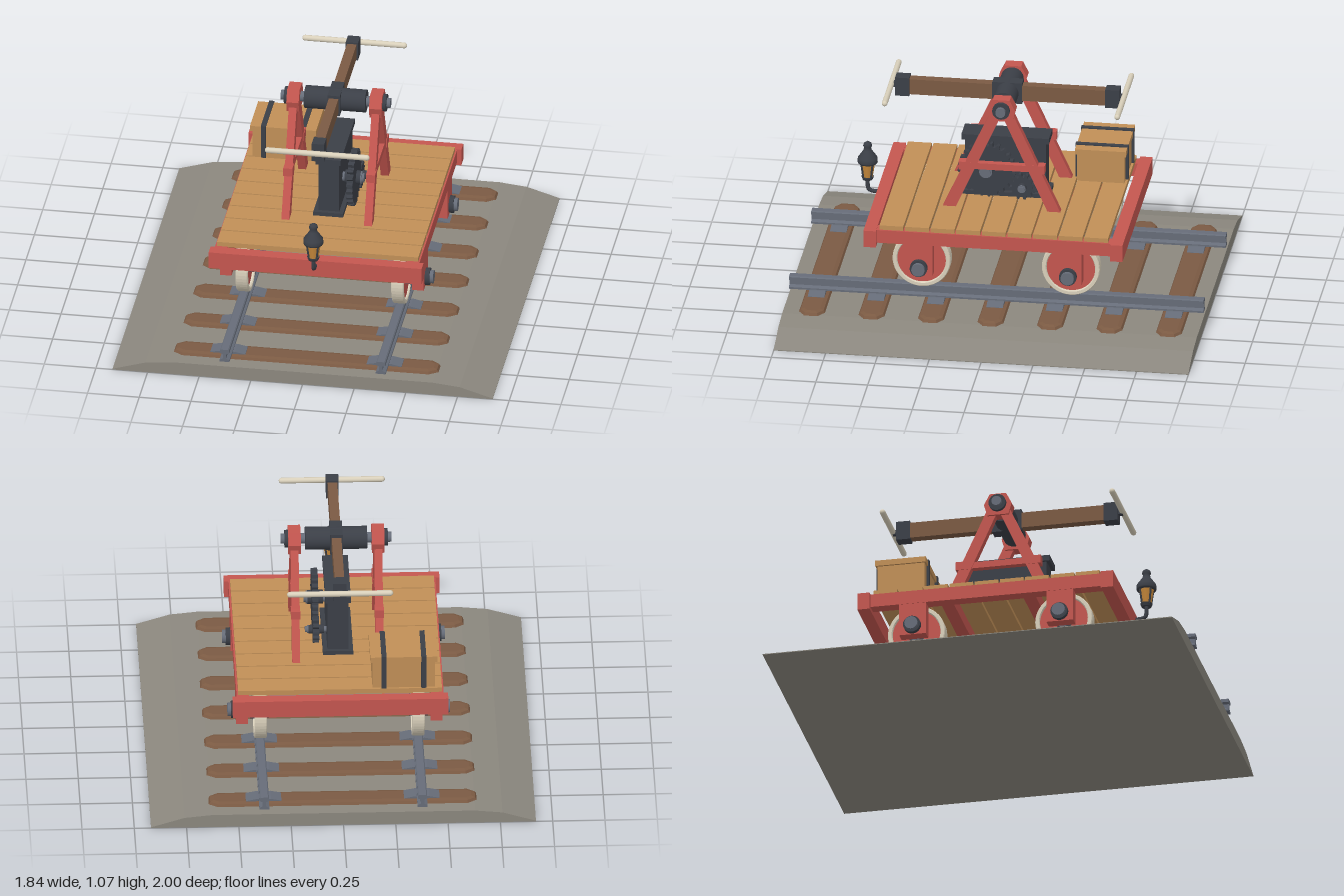
import * as THREE from 'three';

const mat = (name, color) => {
  const m = new THREE.MeshStandardMaterial({ color });
  m.name = name;
  return m;
};

export function createModel() {
  const model = new THREE.Group();
  model.name = 'railHandcar';

  const red = mat('red paint', 0xc4564f);
  const plankWood = mat('plank wood', 0xc08f57);
  const brown = mat('dark wood', 0x7b5a43);
  const iron = mat('dark iron', 0x3b3f47);
  const steel = mat('steel', 0x666c78);
  const cream = mat('cream', 0xd9d0bb);
  const gravel = mat('gravel', 0x8b877e);
  const amber = mat('amber glass', 0xc98a3c);

  const add = (name, geo, material, x = 0, y = 0, z = 0) => {
    const mesh = new THREE.Mesh(geo, material);
    mesh.name = name;
    mesh.position.set(x, y, z);
    model.add(mesh);
    return mesh;
  };
  // box given by its limits on each axis
  const box = (name, material, x0, x1, y0, y1, z0, z1) =>
    add(name, new THREE.BoxGeometry(x1 - x0, y1 - y0, z1 - z0), material,
      (x0 + x1) / 2, (y0 + y1) / 2, (z0 + z1) / 2);
  // cylinder lying along x
  const rod = (name, material, r, x0, x1, y, z, sides = 24) =>
    add(name, new THREE.CylinderGeometry(r, r, Math.abs(x1 - x0), sides).rotateZ(Math.PI / 2),
      material, (x0 + x1) / 2, y, z);
  const poly = (pts) => new THREE.Shape(pts.map(([a, b]) => new THREE.Vector2(a, b)));
  const extrude = (shape, depth) =>
    new THREE.ExtrudeGeometry(shape, { depth, bevelEnabled: false, curveSegments: 20 })
      .translate(0, 0, -depth / 2);
  const sides = [-1, 1];

  // ballast bed
  add('ballast', extrude(poly([
    [-0.92, 0], [0.92, 0], [0.92, 0.004], [0.76, 0.052], [0.63, 0.065],
    [-0.63, 0.065], [-0.76, 0.052], [-0.92, 0.004],
  ]), 2), gravel);

  // sleepers with worn edges, and their tie plates
  const sleeperGeo = new THREE.ExtrudeGeometry(poly([
    [-0.615, -0.02], [-0.59, -0.038], [0.59, -0.038], [0.615, -0.02],
    [0.615, 0.02], [0.59, 0.038], [-0.59, 0.038], [-0.615, 0.02],
  ]), { depth: 0.03, bevelSize: 0.025, bevelThickness: 0.018, bevelSegments: 2 })
    .rotateX(-Math.PI / 2);
  const plateGeo = extrude(poly([
    [-0.085, 0.074], [0.085, 0.074], [0.085, 0.083], [0.035, 0.093],
    [-0.035, 0.093], [-0.085, 0.083],
  ]), 0.08);
  for (let i = -3; i <= 3; i++) {
    const z = i * 0.287;
    add('sleeper', sleeperGeo, brown, 0, 0.034, z);
    for (const s of sides) add('tiePlate', plateGeo, steel, s * 0.378, 0, z);
  }

  // rails
  const railGeo = extrude(poly([
    [-0.024, 0.09], [0.024, 0.09], [0.024, 0.099], [0.008, 0.108], [0.008, 0.13],
    [0.022, 0.136], [0.022, 0.15], [0.017, 0.155], [-0.017, 0.155], [-0.022, 0.15],
    [-0.022, 0.136], [-0.008, 0.13], [-0.008, 0.108], [-0.024, 0.099],
  ]), 2);
  for (const s of sides) add('rail', railGeo, steel, s * 0.378, 0, 0);

  // wheels, axles and axle boxes
  const rimShape = new THREE.Shape().absarc(0, 0, 0.14, 0, Math.PI * 2, false);
  rimShape.holes.push(new THREE.Path().absarc(0, 0, 0.117, 0, Math.PI * 2, true));
  const rimGeo = new THREE.ExtrudeGeometry(rimShape, {
    depth: 0.05, bevelSize: 0.004, bevelOffset: -0.004, bevelThickness: 0.005,
    bevelSegments: 1, curveSegments: 24,
  }).translate(0, 0, -0.025).rotateY(Math.PI / 2);
  const axleY = 0.285;
  for (const z of [-0.36, 0.36]) {
    rod('axle', steel, 0.033, -0.44, 0.44, axleY, z);
    for (const s of sides) {
      add('wheelRim', rimGeo, cream, s * 0.377, axleY, z);
      rod('wheelDisc', red, 0.119, s * 0.36, s * 0.397, axleY, z, 40);
      rod('wheelHub', steel, 0.045, s * 0.335, s * 0.425, axleY, z);
      box('axleBox', red, s * 0.465 - 0.028, s * 0.465 + 0.028, 0.24, 0.41, z - 0.065, z + 0.065);
      rod('axleCap', iron, 0.042, s * 0.49, s * 0.515, axleY, z);
      rod('axleBolt', steel, 0.032, s * 0.51, s * 0.532, axleY, z);
    }
  }

  // chassis
  for (const s of sides) {
    box('endBeam', red, -0.515, 0.515, 0.385, 0.47, s * 0.595 - 0.03, s * 0.595 + 0.03);
    box('sideBeam', red, s * 0.465 - 0.03, s * 0.465 + 0.03, 0.402, 0.468, -0.57, 0.57);
    box('crossMember', red, -0.44, 0.44, 0.405, 0.465, s * 0.2 - 0.03, s * 0.2 + 0.03);
  }

  // deck planks
  for (let i = -4; i <= 4; i++) {
    const z = i * 0.1235;
    box('deckPlank', plankWood, -0.487, 0.487, 0.465, 0.49, z - 0.0575, z + 0.0575);
  }

  // A-frames holding the rocker axle
  const pivotY = 1.013;
  const bearingGeo = extrude(poly([
    [-0.052, 0.955], [0.052, 0.955], [0.068, 1.01], [0.04, 1.065], [-0.04, 1.065], [-0.068, 1.01],
  ]), 0.06).rotateY(Math.PI / 2);
  const legGeo = extrude(poly([
    [0.222, 0.488], [0.284, 0.488], [0.056, 0.985], [0.0, 0.985],
  ]), 0.038).rotateY(Math.PI / 2);
  for (const s of sides) {
    add('frameBearing', bearingGeo, red, s * 0.2);
    add('frameLeg', legGeo, red, s * 0.2);
    add('frameLeg', legGeo, red, s * 0.2).rotation.y = Math.PI;
    box('frameCrossbar', red, s * 0.2 - 0.016, s * 0.2 + 0.016, 0.69, 0.722, -0.205, 0.205);
    for (const t of sides)
      box('crossbarBracket', red, s * 0.2 - 0.022, s * 0.2 + 0.022, 0.685, 0.727, t * 0.178 - 0.03, t * 0.178 + 0.03);
    rod('pivotWasher', iron, 0.042, s * 0.225, s * 0.247, pivotY, 0);
    rod('pivotBolt', steel, 0.024, s * 0.24, s * 0.265, pivotY, 0);
  }

  // rocker beam with drum, end caps and hand grips
  rod('rockerAxle', steel, 0.025, -0.23, 0.23, pivotY, 0);
  rod('rockerDrum', iron, 0.055, -0.148, 0.148, pivotY, 0, 32);
  box('rockerSaddle', iron, -0.03, 0.03, 0.96, 1.067, -0.072, 0.072);
  box('rockerBeam', brown, -0.023, 0.023, 0.974, 1.052, -0.53, 0.53);
  for (const s of sides) {
    box('beamEndCap', iron, -0.03, 0.03, 0.966, 1.06, s * 0.507 - 0.034, s * 0.507 + 0.034);
    box('gripStub', iron, -0.012, 0.012, 1.003, 1.027, s * 0.55 - 0.012, s * 0.55 + 0.012);
    const grip = new THREE.CapsuleGeometry(0.014, 0.48, 4, 12).rotateZ(Math.PI / 2);
    add('handGrip', grip, cream, 0, 1.018, s * 0.561);
  }

  // gearbox
  box('gearboxBase', iron, -0.075, 0.07, 0.49, 0.51, -0.21, 0.22);
  box('gearboxBody', iron, -0.052, 0.048, 0.505, 0.77, -0.19, 0.2);
  box('gearboxLid', iron, -0.064, 0.058, 0.768, 0.797, -0.205, 0.217);

  // toothed gears on the gearbox's left face
  const gearGeo = (r, teeth) => {
    const pts = [];
    for (let i = 0; i < teeth; i++) {
      [[0, r - 0.016], [0.2, r], [0.5, r], [0.7, r - 0.016]].forEach(([f, q]) => {
        const a = ((i + f) / teeth) * Math.PI * 2;
        pts.push([Math.cos(a) * q, Math.sin(a) * q]);
      });
    }
    return extrude(poly(pts), 0.03).rotateY(Math.PI / 2);
  };
  for (const [y, z, r, teeth, hub] of [[0.643, 0.088, 0.139, 24, 0.042], [0.563, -0.085, 0.066, 12, 0.026]]) {
    add('gear', gearGeo(r, teeth), iron, 0.1, y, z);
    rod('gearShaft', steel, hub * 0.55, 0.04, 0.152, y, z);
    rod('gearHub', iron, hub * 0.8, 0.06, 0.135, y, z);
    rod('gearHubCap', steel, hub * 0.75, 0.13, 0.142, y, z);
  }

  // strapped crate
  box('crateBody', plankWood, -0.455, -0.155, 0.49, 0.635, -0.54, -0.31);
  box('crateLid', plankWood, -0.465, -0.145, 0.63, 0.658, -0.548, -0.302);
  for (const x of [-0.4, -0.21])
    box('crateStrap', iron, x - 0.012, x + 0.012, 0.492, 0.664, -0.553, -0.297);

  // lantern on a bent bracket
  const lampZ = 0.677;
  const arm = new THREE.CatmullRomCurve3([
    new THREE.Vector3(0, 0.445, 0.615), new THREE.Vector3(0, 0.445, 0.65),
    new THREE.Vector3(0, 0.455, 0.672), new THREE.Vector3(0, 0.48, lampZ), new THREE.Vector3(0, 0.515, lampZ),
  ]);
  add('lampArm', new THREE.TubeGeometry(arm, 16, 0.01, 10), iron);
  const lathe = (pts, n) => new THREE.LatheGeometry(pts.map(([r, y]) => new THREE.Vector2(r, y)), n);
  add('lampBase', new THREE.CylinderGeometry(0.03, 0.024, 0.016, 16), iron, 0, 0.513, lampZ);
  add('lampGlass', new THREE.CylinderGeometry(0.037, 0.024, 0.08, 8), amber, 0, 0.557, lampZ);
  for (let i = 0; i < 4; i++) {
    const a = (i + 0.5) * Math.PI / 2;
    const post = new THREE.CylinderGeometry(0.005, 0.005, 0.085, 6);
    const m = add('lampPost', post, iron, Math.cos(a) * 0.032, 0.557, lampZ + Math.sin(a) * 0.032);
    m.rotation.set(Math.sin(a) * 0.16, 0, -Math.cos(a) * 0.16);
  }
  add('lampRoof', lathe([
    [0, 0.592], [0.046, 0.592], [0.049, 0.6], [0.047, 0.62], [0.02, 0.658],
    [0.016, 0.675], [0.022, 0.68], [0.018, 0.694], [0, 0.706],
  ], 16), iron, 0, 0, lampZ);

  return model;
}
